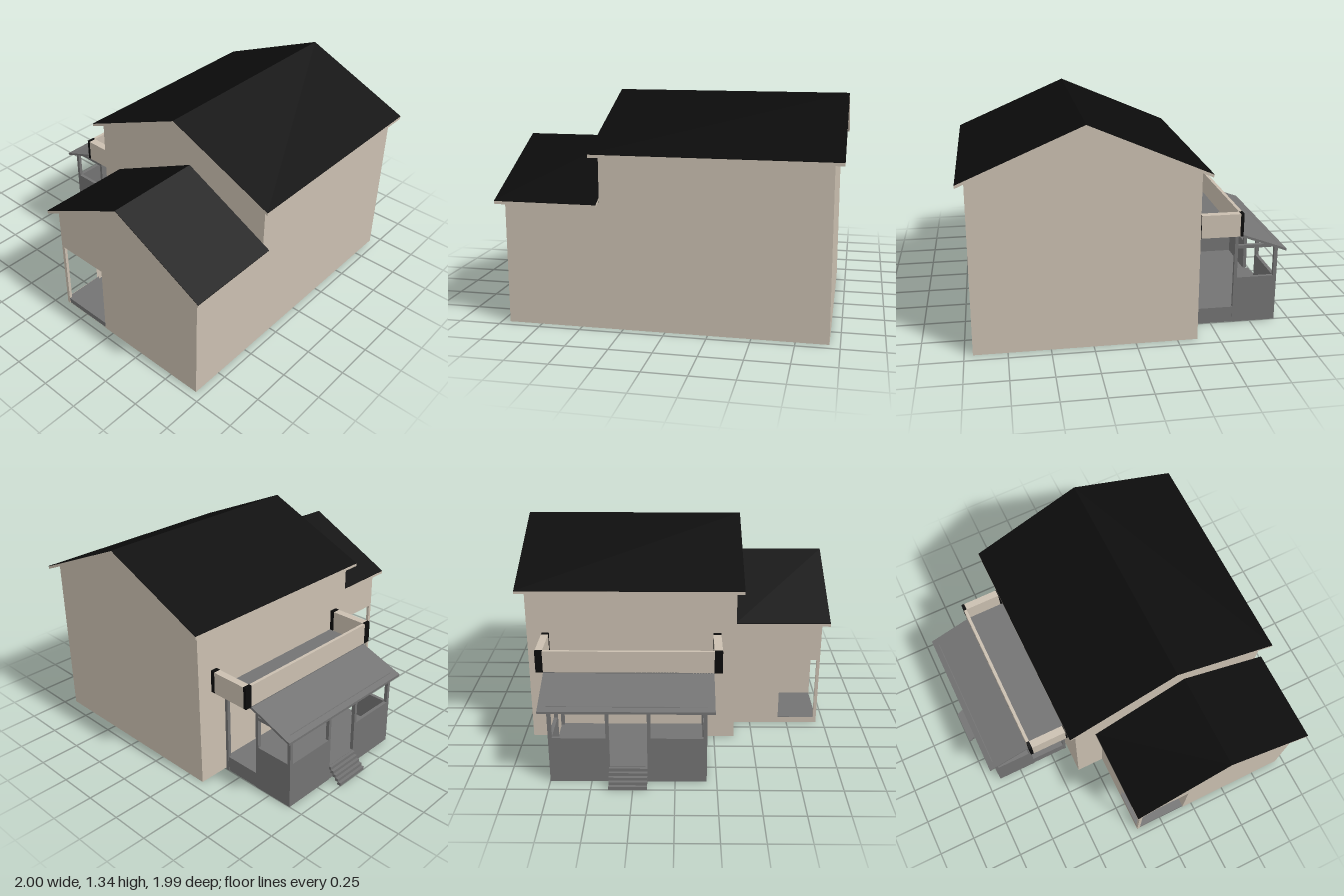
import * as THREE from 'three';

export function createModel() {
  const model = new THREE.Group();
  model.name = 'house';

  const wallPaint = new THREE.MeshStandardMaterial({ color: 0xcabfb0, side: THREE.DoubleSide });
  wallPaint.name = 'beige wall';
  const grey = new THREE.MeshStandardMaterial({ color: 0x737373 });
  grey.name = 'porch grey';
  const black = new THREE.MeshStandardMaterial({ color: 0x0b0b0b });
  black.name = 'roof black';

  const add = (name, geometry, material, parent = model) => {
    const mesh = new THREE.Mesh(geometry, material);
    mesh.name = name;
    parent.add(mesh);
    return mesh;
  };
  // Box given by its extents on each axis
  const box = (name, material, [x0, x1], [y0, y1], [z0, z1], parent) =>
    add(name, new THREE.BoxGeometry(x1 - x0, y1 - y0, z1 - z0), material, parent)
      .position.set((x0 + x1) / 2, (y0 + y1) / 2, (z0 + z1) / 2);
  const shapeOf = (points) => new THREE.Shape(points.map(([x, y]) => new THREE.Vector2(x, y)));
  // Profile in x, y pushed along z
  const extrude = (name, material, points, z0, z1, parent) =>
    add(name, new THREE.ExtrudeGeometry(shapeOf(points), { depth: z1 - z0, bevelEnabled: false }), material, parent)
      .position.z = z0;
  // Thin sheet facing along z
  const frontSheet = (name, points, z, hole) => {
    const shape = shapeOf(points);
    if (hole) shape.holes.push(shapeOf(hole));
    add(name, new THREE.ShapeGeometry(shape), wallPaint).position.z = z;
  };
  // Thin sheet facing along x, points given as [z, y]
  const sideSheet = (name, points, x, hole) => {
    const shape = shapeOf(points.map(([z, y]) => [-z, y]));
    if (hole) shape.holes.push(shapeOf(hole.map(([z, y]) => [-z, y])));
    const mesh = add(name, new THREE.ShapeGeometry(shape), wallPaint);
    mesh.rotation.y = Math.PI / 2;
    mesh.position.x = x;
  };
  const rect = (a0, a1, b0, b1) => [[a0, b0], [a1, b0], [a1, b1], [a0, b1]];

  // Gable roofs: beige slab, black covering, black inner lining
  const gableRoof = (name, ridgeX, ridgeY, slope, eaves, walls, roofZ, innerZ) => {
    const group = new THREE.Group();
    group.name = name;
    model.add(group);
    const layer = (part, material, [xl, xr], top, thick, [z0, z1]) => {
      const yl = top - slope * (ridgeX - xl), yr = top - slope * (xr - ridgeX);
      extrude(part, material, [
        [xl, yl - thick], [ridgeX, top - thick], [xr, yr - thick],
        [xr, yr], [ridgeX, top], [xl, yl],
      ], z0, z1, group);
    };
    layer('roofSlab', wallPaint, eaves, ridgeY - 0.003, 0.018, roofZ);
    layer('roofCovering', black, eaves, ridgeY, 0.003, roofZ);
    layer('roofLining', black, walls, ridgeY - 0.021, 0.003, innerZ);
  };
  gableRoof('mainRoof', 0.29, 1.343, 0.43, [-0.42, 0.998], [-0.366, 0.946], [-0.993, 0.425], [-0.936, 0.376]);
  gableRoof('wingRoof', 0.385, 1.06, 0.505, [-0.23, 0.998], [-0.176, 0.946], [0.385, 0.995], [0.385, 0.946]);

  // Main block walls
  frontSheet('mainBackWall', [[-0.37, 0], [0.95, 0], [0.95, 1.04], [0.29, 1.323], [-0.37, 1.04]], -0.94);
  frontSheet('mainFrontWall', [
    [-0.37, 0], [-0.18, 0], [-0.18, 0.755], [0.385, 1.04], [0.95, 0.755],
    [0.95, 1.04], [0.29, 1.323], [-0.37, 1.04],
  ], 0.38);
  sideSheet('mainPorchSideWall', rect(-0.94, 0.38, 0, 1.04), -0.37);
  sideSheet('mainPlainSideWall', rect(-0.94, 0.38, 0, 1.04), 0.95);

  // Front wing walls, with an entry open at the corner
  frontSheet('wingFrontWall',
    [[-0.18, 0], [0.95, 0], [0.95, 0.755], [0.385, 1.04], [-0.18, 0.755]], 0.95,
    rect(-0.16, 0.18, 0.002, 0.47));
  sideSheet('wingEntrySideWall', rect(0.38, 0.95, 0, 0.755), -0.18, rect(0.69, 0.93, 0.04, 0.47));
  sideSheet('wingPlainSideWall', rect(0.38, 0.95, 0, 0.755), 0.95);

  // Entry recess
  frontSheet('entryBackWall', rect(-0.18, 0.18, 0, 0.47), 0.62);
  sideSheet('entryInnerWall', rect(0.62, 0.95, 0, 0.47), 0.18);
  sideSheet('entryOuterWall', rect(0.62, 0.69, 0, 0.47), -0.16);
  box('entryCeiling', wallPaint, [-0.178, 0.18], [0.47, 0.474], [0.62, 0.948]);
  box('entryCornerPost', wallPaint, [-0.179, -0.16], [0, 0.47], [0.93, 0.949]);
  box('entryFloor', grey, [-0.178, 0.178], [0.015, 0.04], [0.622, 0.948]);
  box('entryStep', grey, [-0.16, 0.175], [0, 0.015], [0.622, 0.945]);

  // Side porch
  const porch = new THREE.Group();
  porch.name = 'porch';
  model.add(porch);
  const [zBack, zFront] = [-0.75, 0.19];
  const t = 0.022;
  box('porchFloor', grey, [-0.905, -0.385], [0, 0.1], [zBack + 0.003, zFront - 0.003], porch);
  const ends = [[zBack, zBack + t], [zFront - t, zFront]];
  for (const z of ends) {
    box('porchEndPanel', grey, [-0.908, -0.637], [0, 0.295], z, porch);
    box('outerPost', grey, [-0.908, -0.886], [0.295, 0.505], z, porch);
    box('middlePost', grey, [-0.657, -0.637], [0.295, 0.585], z, porch);
    box('housePost', grey, [-0.403, -0.383], [0, 0.585], z, porch);
    box('endBeam', grey, [-0.886, -0.657], [0.485, 0.505], z, porch);
  }
  box('sideBeam', grey, [-0.908, -0.886], [0.485, 0.505], [zBack + t, zFront - t], porch);

  // Half walls beside the doorway
  const door = [-0.39, -0.165];
  box('sidePanel', grey, [-0.908, -0.886], [0, 0.295], [zBack + t, door[0]], porch);
  box('sidePanel', grey, [-0.908, -0.886], [0, 0.295], [door[1], zFront - t], porch);
  for (const z of [door[0] - 0.02, door[1]]) {
    box('doorPost', grey, [-0.908, -0.886], [0.295, 0.485], [z, z + 0.02], porch);
  }

  // Open steps
  for (let i = 0; i < 5; i++) {
    const x = -1 + i * 0.019;
    box('step', grey, [x, x + 0.024], [i * 0.0195, i * 0.0195 + 0.02], [-0.395, -0.165], porch);
  }

  // Lean-to roof and balcony deck
  extrude('leanToRoof', grey,
    [[-0.943, 0.475], [-0.64, 0.587], [-0.64, 0.603], [-0.943, 0.49]], -0.80, 0.235, porch);
  box('balconyDeck', grey, [-0.655, -0.372], [0.583, 0.603], [-0.80, 0.235], porch);

  // Balcony parapet with black corner posts
  const balcony = new THREE.Group();
  balcony.name = 'balcony';
  model.add(balcony);
  box('longParapet', wallPaint, [-0.655, -0.635], [0.6, 0.74], [-0.80, 0.235], balcony);
  for (const z of [[-0.845, -0.80], [0.235, 0.285]]) {
    box('endParapet', wallPaint, [-0.635, -0.4], [0.6, 0.74], z, balcony);
    box('cornerPost', black, [-0.655, -0.635], [0.6, 0.742], z, balcony);
    box('wallPost', black, [-0.4, -0.372], [0.6, 0.742], z, balcony);
  }

  return model;
}
